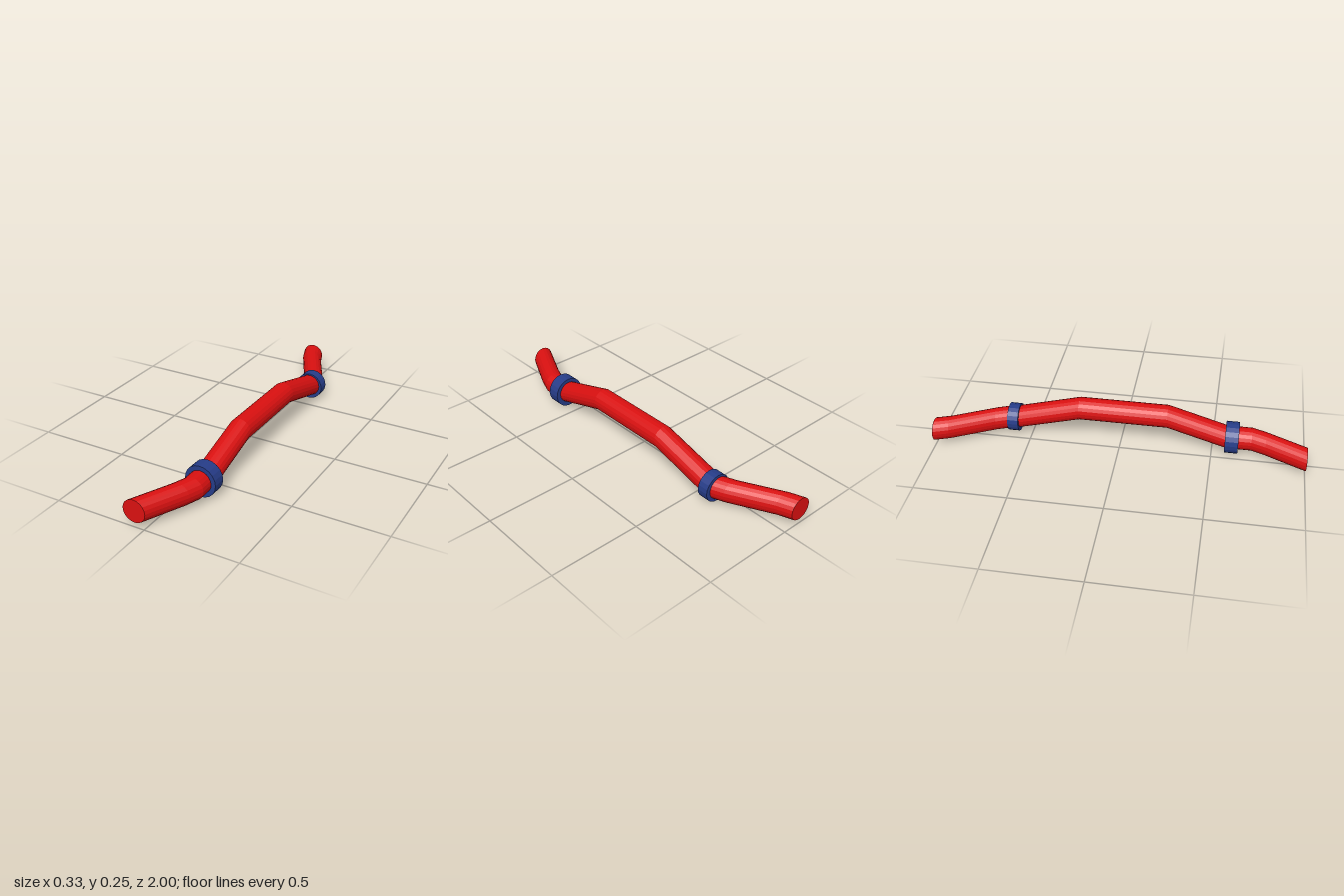
import * as THREE from 'three';

const SIDES = 20;
const X = 0.078, LOW = 0.087, HIGH = 0.186;

// Tube whose round sections all lie in planes facing z; path runs from +z to -z
function sectionTube(path, radius) {
  const pos = [], idx = [];
  for (const [x, y, z] of path) {
    for (let j = 0; j < SIDES; j++) {
      const a = (j / SIDES) * Math.PI * 2;
      pos.push(x + radius * Math.cos(a), y + radius * Math.sin(a), z);
    }
  }
  for (let i = 0; i < path.length - 1; i++) {
    for (let j = 0; j < SIDES; j++) {
      const k = (j + 1) % SIDES;
      const a = i * SIDES + j, b = i * SIDES + k;
      idx.push(a, a + SIDES, b, b, a + SIDES, b + SIDES);
    }
  }
  // flat end caps
  const last = (path.length - 1) * SIDES;
  for (let j = 1; j < SIDES - 1; j++) {
    idx.push(0, j, j + 1, last, last + j + 1, last + j);
  }
  const geo = new THREE.BufferGeometry();
  geo.setAttribute('position', new THREE.Float32BufferAttribute(pos, 3));
  geo.setIndex(idx);
  const flat = geo.toNonIndexed();
  flat.computeVertexNormals();
  return flat;
}

export function createModel() {
  const group = new THREE.Group();
  const red = new THREE.MeshStandardMaterial({ color: 0xd91010, flatShading: true });
  red.name = 'red pipe';
  const blue = new THREE.MeshStandardMaterial({ color: 0x263c88, flatShading: true });
  blue.name = 'blue collar';

  const add = (name, geo, mat) => {
    const mesh = new THREE.Mesh(geo, mat);
    mesh.name = name;
    group.add(mesh);
  };

  // bent pipe: sideways kinks at both ends, raised middle
  add('pipe', sectionTube([
    [-0.052, LOW, 1], [0.05, LOW, 0.785], [X, LOW, 0.71], [X, LOW, 0.58],
    [X, HIGH, 0.254], [X, HIGH, -0.228],
    [X, LOW, -0.59], [X, LOW, -0.605], [0.045, LOW, -0.69],
    [-0.073, LOW, -0.92], [-0.102, LOW, -1],
  ], 0.0617), red);

  // collars around the joints
  const collar = (name, z, radius, depth) =>
    add(name, sectionTube([[X, LOW, z + depth / 2], [X, LOW, z - depth / 2]], radius), blue);
  collar('frontCollar', 0.605, 0.086, 0.072);
  collar('backCollar', -0.596, 0.0765, 0.06);

  return group;
}
